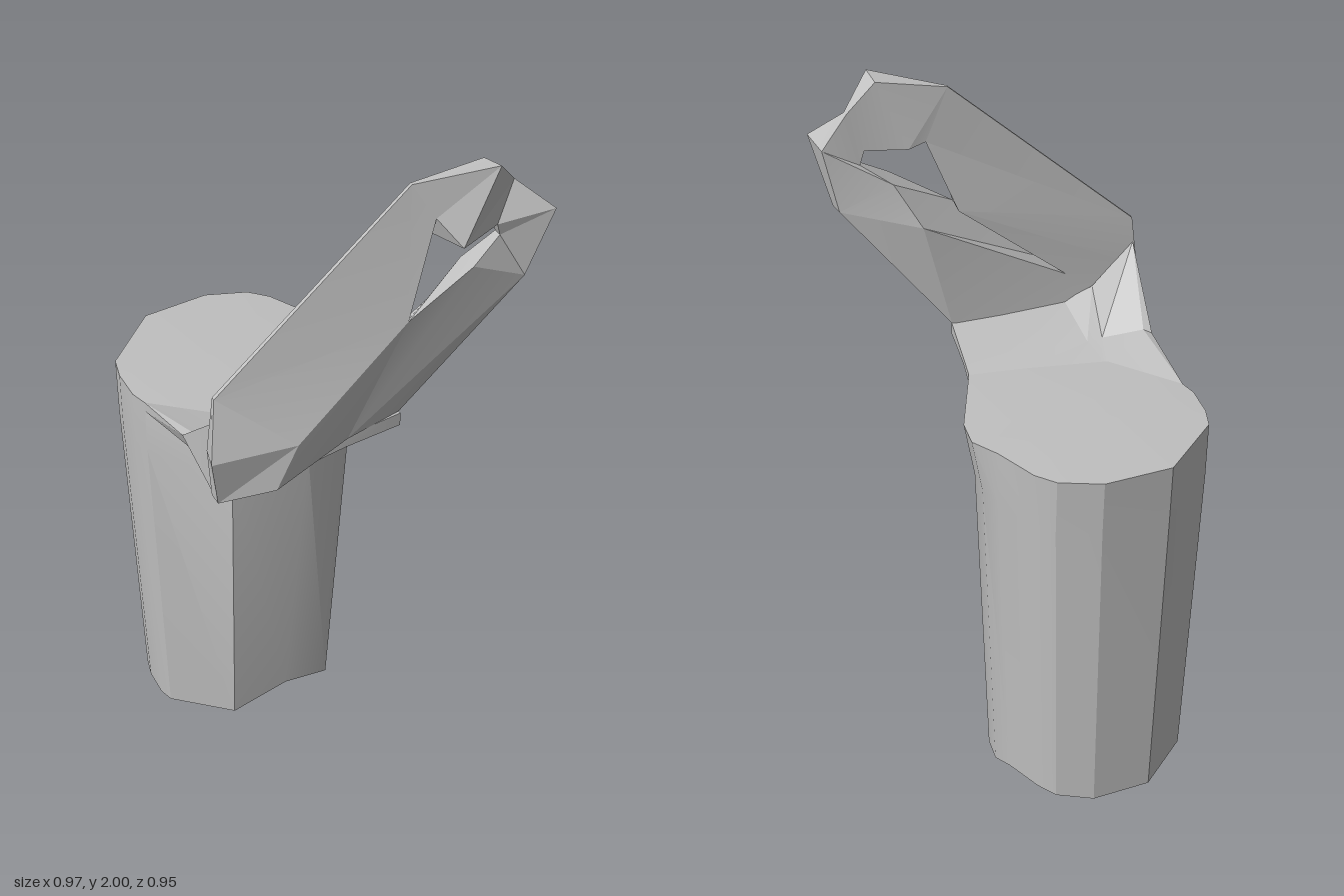
import * as THREE from 'three';
import { toCreasedNormals } from 'three/addons/utils/BufferGeometryUtils.js';

const grey = new THREE.MeshStandardMaterial({ color: 0xbfbfbf, side: THREE.DoubleSide });
grey.name = 'plainGrey';

// Skin a list of closed cross-sections; wrap joins the last one to the first.
function loft(name, rings, wrap, crease) {
  const pos = [];
  const tri = (...pts) => {
    const [a, b, c] = pts.map((p) => new THREE.Vector3(...p));
    if (b.clone().sub(a).cross(c.clone().sub(a)).length() > 1e-7) pos.push(...pts.flat());
  };
  const last = wrap ? rings.length : rings.length - 1;
  for (let r = 0; r < last; r++) {
    const A = rings[r], B = rings[(r + 1) % rings.length];
    for (let i = 0; i < A.length; i++) {
      const j = (i + 1) % A.length;
      tri(A[i], B[i], B[j]);
      tri(A[i], B[j], A[j]);
    }
  }
  const geo = new THREE.BufferGeometry();
  geo.setAttribute('position', new THREE.Float32BufferAttribute(pos, 3));
  const mesh = new THREE.Mesh(toCreasedNormals(geo, crease), grey);
  mesh.name = name;
  return mesh;
}

// A ring shrunk to one point, closing the end of a loft.
const endPoint = (ring, p) => ring.map(() => p);
const centre = (ring) => [0, 1, 2].map((k) => ring.reduce((s, p) => s + p[k], 0) / ring.length);

function makeBody() {
  // Outline of the top, as x and z, from the left side round the back
  const outline = [
    [-0.465, -0.28], [-0.3, -0.455], [-0.1, -0.48], [0.02, -0.44], [0.07, -0.39],
    [0.135, -0.265], [0.19, -0.19], [0.19, -0.1], [0.115, 0.135], [-0.06, 0.125],
    [-0.29, 0.1], [-0.465, -0.06], [-0.48, -0.11], [-0.48, -0.21],
  ];
  const cx = -0.155, cz = -0.165;
  const top = outline.map(([x, z]) => [x, z > 0.05 ? 1.18 : 1.17, z]);
  const shoulder = outline.map(([x, z]) => [Math.min(x, 0.16), 1.0, z * 0.98]);
  const foot = outline.map(([x, z], i) => [
    Math.min(cx + (x - cx) * 0.89, 0.13), [0, 0, 0, 0.01, 0.02, 0.02, 0, 0, 0.03, 0.05, 0.005, 0, 0, 0][i],
    cz + (z - cz) * 0.87,
  ]);
  // Front right corner is cut back below the rim, the front bulges beside it
  shoulder[8] = [0.105, 1.0, 0.07];
  shoulder[9] = [-0.06, 1.0, 0.14];
  shoulder[10] = [-0.3, 1.0, 0.155];
  foot[8] = [0.045, 0.03, 0.05];
  foot[9] = [-0.1, 0.055, 0.065];
  return loft('body', [
    endPoint(foot, [cx, 0.09, cz]), foot, shoulder, top, endPoint(top, [cx, 1.18, cz]),
  ], false, 0.42);
}

function makeHinge() {
  // Bent bridge from the body's front edge to the raised lid, left to right
  const section = (front, mid, back, under) => [
    front, mid, back,
    [back[0], back[1] - 0.03, back[2]],
    [mid[0], (back[1] + under) / 2 - 0.01, mid[2]],
    [front[0], under, front[2]],
  ];
  const sections = [
    section([-0.455, 1.4, 0.39], [-0.425, 1.22, 0.18], [-0.465, 1.17, -0.06], 1.17),
    section([-0.33, 1.27, 0.385], [-0.305, 1.2, 0.2], [-0.29, 1.18, 0.1], 1.145),
    section([-0.245, 1.23, 0.39], [-0.26, 1.195, 0.2], [-0.27, 1.18, 0.102], 1.16),
    section([-0.07, 1.23, 0.39], [-0.065, 1.195, 0.2], [-0.06, 1.18, 0.125], 1.195),
    section([0.11, 1.23, 0.36], [0.113, 1.195, 0.2], [0.115, 1.18, 0.135], 1.19),
  ];
  const first = sections[0], last = sections[sections.length - 1];
  return loft('hinge', [
    endPoint(first, centre(first)), ...sections, endPoint(last, centre(last)),
  ], false, 0.2);
}

function makeLid() {
  // Each section: inner front, outer front, outer back, inner back,
  // running clockwise round the hole and its closed lower slit
  const slitF = [-0.25, 1.32, 0.475], slitB = [-0.25, 1.32, 0.39];
  const holeF = [0.08, 1.585, 0.44], holeB = [0.08, 1.585, 0.365];
  return loft('loopedLid', [
    [slitF, [-0.46, 1.17, 0.43], [-0.46, 1.17, 0.39], slitB],
    [slitF, [-0.485, 1.32, 0.455], [-0.47, 1.32, 0.39], slitB],
    [holeF, [-0.45, 1.48, 0.4], [-0.45, 1.48, 0.388], holeB],
    [[0.16, 1.86, 0.42], [0.1, 1.96, 0.395], [0.1, 1.96, 0.385], [0.165, 1.8, 0.39]],
    [[0.215, 1.785, 0.47], [0.31, 2.0, 0.47], [0.3, 1.99, 0.4], [0.215, 1.785, 0.385]],
    [[0.34, 1.795, 0.42], [0.39, 1.91, 0.405], [0.385, 1.91, 0.39], [0.34, 1.795, 0.39]],
    [[0.355, 1.755, 0.41], [0.485, 1.83, 0.465], [0.46, 1.81, 0.385], [0.355, 1.755, 0.385]],
    [[0.265, 1.7, 0.44], [0.43, 1.62, 0.425], [0.42, 1.62, 0.38], [0.265, 1.69, 0.37]],
    [holeF, [-0.07, 1.23, 0.4], [0.11, 1.23, 0.35], [0.19, 1.56, 0.335]],
    [slitF, [-0.31, 1.19, 0.47], [-0.32, 1.15, 0.385], slitB],
  ], true, 0.2);
}

export function createModel() {
  const model = new THREE.Group();
  model.name = 'canisterWithLoopedLid';
  model.add(makeBody(), makeHinge(), makeLid());
  return model;
}
